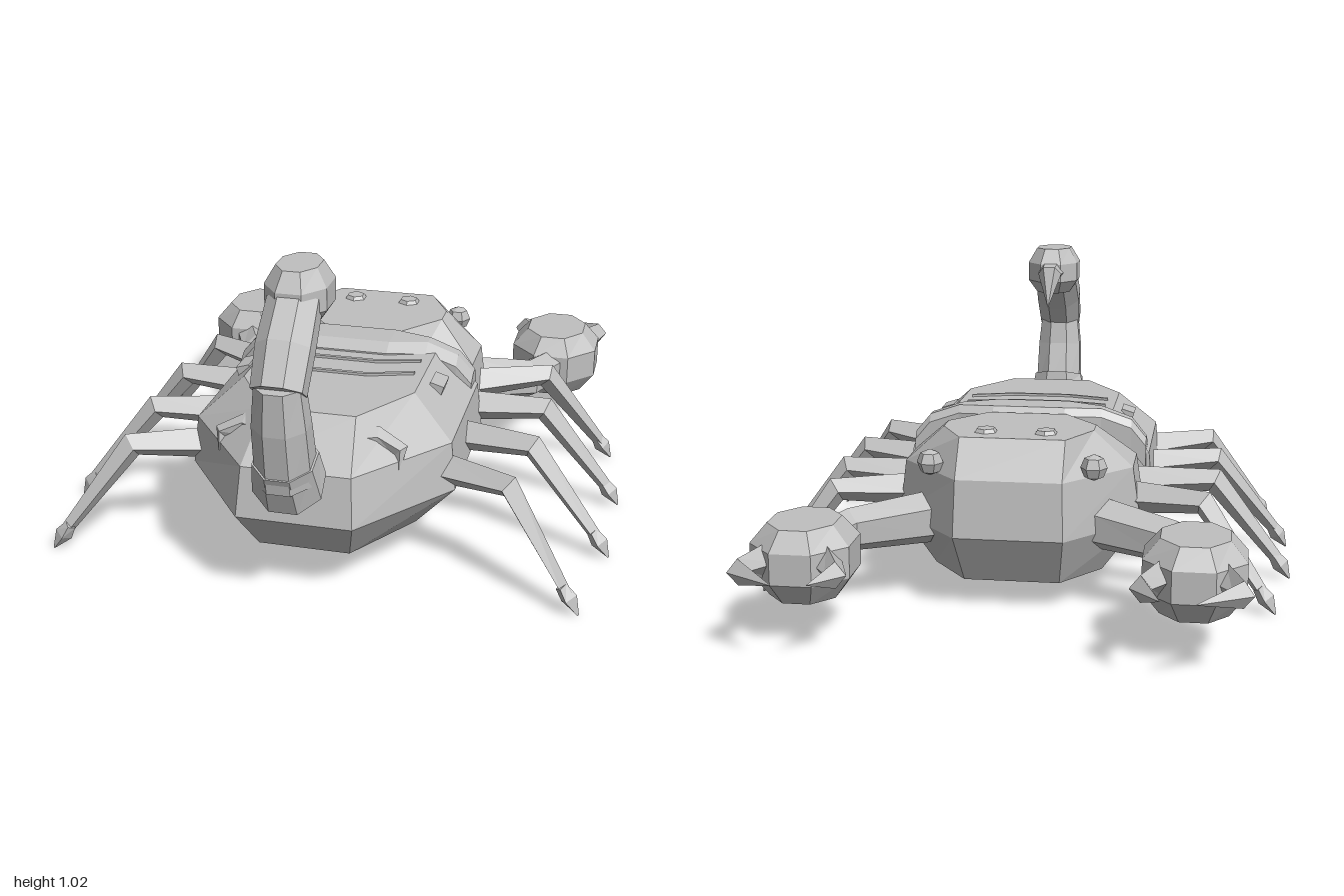
import * as THREE from 'three';

const shell = new THREE.MeshStandardMaterial({ color: 0xc0c0c0 });
shell.name = 'grey shell';
const V = (x, y, z) => new THREE.Vector3(x, y, z);

// Faceted solid through rings of points, each counter-clockwise around the lofting direction
function loft(rings) {
  const pos = [];
  const tri = (...p) => p.forEach(v => pos.push(v.x, v.y, v.z));
  const n = rings[0].length, last = rings[rings.length - 1];
  for (let j = 0; j < rings.length - 1; j++) {
    for (let i = 0; i < n; i++) {
      const k = (i + 1) % n, a = rings[j], b = rings[j + 1];
      tri(a[i], a[k], b[k]);
      tri(a[i], b[k], b[i]);
    }
  }
  for (let i = 1; i < n - 1; i++) {
    tri(rings[0][0], rings[0][i + 1], rings[0][i]);
    tri(last[0], last[i], last[i + 1]);
  }
  const g = new THREE.BufferGeometry();
  g.setAttribute('position', new THREE.Float32BufferAttribute(pos, 3));
  g.computeVertexNormals();
  return g;
}

// Tapered tube along points; radii are [along ref, across ref]
function limb(points, radii, sides, ref = V(0, 1, 0), turn = 0) {
  const rings = points.map((p, j) => {
    const t = points[Math.min(j + 1, points.length - 1)].clone()
      .sub(points[Math.max(j - 1, 0)]).normalize();
    const a = ref.clone().addScaledVector(t, -ref.dot(t)).normalize();
    const b = t.clone().cross(a);
    return Array.from({ length: sides }, (_, i) => {
      const q = (i + turn) / sides * Math.PI * 2;
      return p.clone().addScaledVector(a, Math.cos(q) * radii[j][0])
        .addScaledVector(b, Math.sin(q) * radii[j][1]);
    });
  });
  return loft(rings);
}

// Horizontal layers [y, [x, z] pairs from back to front], mirrored in x
const layers = list => loft(list.map(([y, half]) => [
  ...half.map(([x, z]) => V(x, y, z)),
  ...half.map(([x, z]) => V(-x, y, z)).reverse()]));

// Eight-sided rounded lump from layers [y, half width, half depth]
const lump = (cx, cz, list) => loft(list.map(([y, rx, rz]) =>
  Array.from({ length: 8 }, (_, i) => {
    const q = (i + 0.5) / 8 * Math.PI * 2;
    return V(cx + Math.sin(q) * rx * 1.08, y, cz + Math.cos(q) * rz * 1.08);
  })));

const faceted = g => {
  const f = g.index ? g.toNonIndexed() : g;
  f.computeVertexNormals();
  return f;
};

export function createModel() {
  const model = new THREE.Group();
  const add = (name, geometry) => {
    const m = new THREE.Mesh(geometry, shell);
    m.name = name;
    model.add(m);
    return m;
  };

  // Body
  add('abdomen', layers([
    [0.12, [[0.14, 0.72], [0.29, 0.48], [0.29, 0.02]]],
    [0.26, [[0.175, 0.83], [0.415, 0.51], [0.415, 0.03]]],
    [0.41, [[0.165, 0.80], [0.40, 0.50], [0.40, 0.04]]],
    [0.53, [[0.14, 0.64], [0.27, 0.43], [0.27, 0.08]]]]));
  add('head', layers([
    [0.09, [[0.14, 0.0], [0.27, -0.06], [0.27, -0.24], [0.15, -0.40]]],
    [0.25, [[0.2, 0.05], [0.39, -0.04], [0.39, -0.23], [0.17, -0.49]]],
    [0.43, [[0.18, 0.02], [0.365, -0.06], [0.365, -0.24], [0.165, -0.47]]],
    [0.545, [[0.13, -0.02], [0.24, -0.16], [0.24, -0.24], [0.165, -0.385]]]]));

  // Raised band across the back, stations [x, top, front z, back z]
  const half = [[0.39, 0.46, 0.02, 0.11], [0.34, 0.52, 0.02, 0.12],
    [0.24, 0.555, 0.015, 0.12], [0.12, 0.56, -0.01, 0.16]];
  const stations = [...half.map(([x, ...r]) => [-x, ...r]), ...half.slice().reverse()];
  add('backBand', loft(stations.map(([x, y, a, b]) => [
    V(x, y, a + 0.02), V(x, y, b - 0.04), V(x, y - 0.025, b),
    V(x, y - 0.1, b), V(x, y - 0.1, a), V(x, y - 0.025, a)])));

  // Chevron ridges on the abdomen
  for (const [z, dip] of [[0.19, 0.035], [0.29, 0.045]]) {
    const path = [[-0.24, z], [-0.1, z + dip], [0.1, z + dip], [0.24, z]];
    add('backRidge', loft(path.map(([x, pz]) => [
      V(x, 0.538, pz - 0.006), V(x, 0.538, pz + 0.006),
      V(x, 0.52, pz + 0.006), V(x, 0.52, pz - 0.006)])));
  }

  // Tail, curling up and forward
  const tail = (name, pts, radii) => add(name,
    limb(pts.map(([y, z]) => V(0, y, z)), radii, 8, V(1, 0, 0), 0.5));
  tail('tailBase', [[0.37, 0.76], [0.41, 0.86], [0.50, 0.89]],
    [[0.065, 0.08], [0.11, 0.10], [0.095, 0.10]]);
  tail('tailMiddle', [[0.44, 0.88], [0.62, 0.92], [0.74, 0.93]],
    [[0.09, 0.095], [0.085, 0.08], [0.072, 0.07]]);
  tail('tailUpper', [[0.72, 0.94], [0.82, 0.87], [0.92, 0.77]],
    [[0.08, 0.075], [0.085, 0.08], [0.08, 0.075]]);
  add('tailBulb', lump(0, 0.715, [[0.855, 0.06, 0.08], [0.90, 0.09, 0.12],
    [0.965, 0.09, 0.12], [1.018, 0.06, 0.085]]));
  add('stinger', limb([V(0, 0.935, 0.64), V(0, 0.935, 0.57), V(0, 0.82, 0.515)],
    [[0.05, 0.045], [0.042, 0.04], [0.001, 0.001]], 6, V(1, 0, 0)));

  // Legs: [root z, knee x, knee z, foot x, foot z]
  const legs = [[-0.17, 0.59, -0.27, 0.82, -0.355], [0.01, 0.62, 0.01, 0.875, 0.0],
    [0.23, 0.62, 0.3, 0.875, 0.355], [0.47, 0.59, 0.585, 0.82, 0.71]];

  for (const s of [1, -1]) {
    const side = s > 0 ? 'left' : 'right';
    for (const [rz, kx, kz, fx, fz] of legs) {
      const az = fz + (kz - fz) * 0.1;
      add(side + 'Leg', limb(
        [V(s * 0.34, 0.315, rz), V(s * kx, 0.33, kz), V(s * (fx - 0.035), 0.06, az)],
        [[0.055, 0.06], [0.042, 0.04], [0.02, 0.02]], 4));
      add(side + 'Foot', limb(
        [V(s * (fx - 0.055), 0.085, az), V(s * (fx - 0.03), 0.05, az), V(s * fx, 0.004, fz)],
        [[0.018, 0.02], [0.028, 0.03], [0.003, 0.006]], 4));
    }

    // Arm, hand and two-fingered pincer
    add(side + 'Arm', limb(
      [V(s * 0.28, 0.265, -0.32), V(s * 0.51, 0.245, -0.425), V(s * 0.58, 0.245, -0.58)],
      [[0.085, 0.075], [0.07, 0.065], [0.06, 0.06]], 6));
    add(side + 'Hand', lump(s * 0.575, -0.685, [[0.13, 0.1, 0.115], [0.20, 0.15, 0.165],
      [0.295, 0.15, 0.165], [0.355, 0.1, 0.125]]));
    const fingers = [[[0.66, -0.78], [0.712, -0.9], [0.585, -1.0]],
      [[0.485, -0.78], [0.43, -0.89], [0.487, -0.985]]];
    for (const path of fingers) {
      add(side + 'Finger', limb(path.map(([x, z]) => V(s * x, 0.255, z)),
        [[0.055, 0.045], [0.04, 0.032], [0.001, 0.001]], 4));
    }

    // Eyes
    const topEye = add(side + 'TopEye', faceted(new THREE.CylinderGeometry(0.03, 0.043, 0.02, 6)));
    topEye.position.set(s * 0.095, 0.547, -0.3);
    const sideEye = add(side + 'SideEye', faceted(new THREE.SphereGeometry(0.042, 6, 4)));
    sideEye.position.set(s * 0.255, 0.465, -0.395);

    // Small block on the flank
    const block = add(side + 'FlankBlock', faceted(new THREE.BoxGeometry(0.045, 0.04, 0.09)));
    block.position.set(s * 0.31, 0.49, 0.265);
    block.rotation.z = -s * 0.3;

    // Hooked spur beside the tail
    add(side + 'Spur', limb(
      [V(s * 0.13, 0.465, 0.67), V(s * 0.2, 0.465, 0.63), V(s * 0.275, 0.435, 0.64), V(s * 0.275, 0.385, 0.665)],
      [[0.02, 0.035], [0.025, 0.035], [0.022, 0.025], [0.003, 0.003]], 4, V(0, 0.5, 0.87)));
  }
  return model;
}
